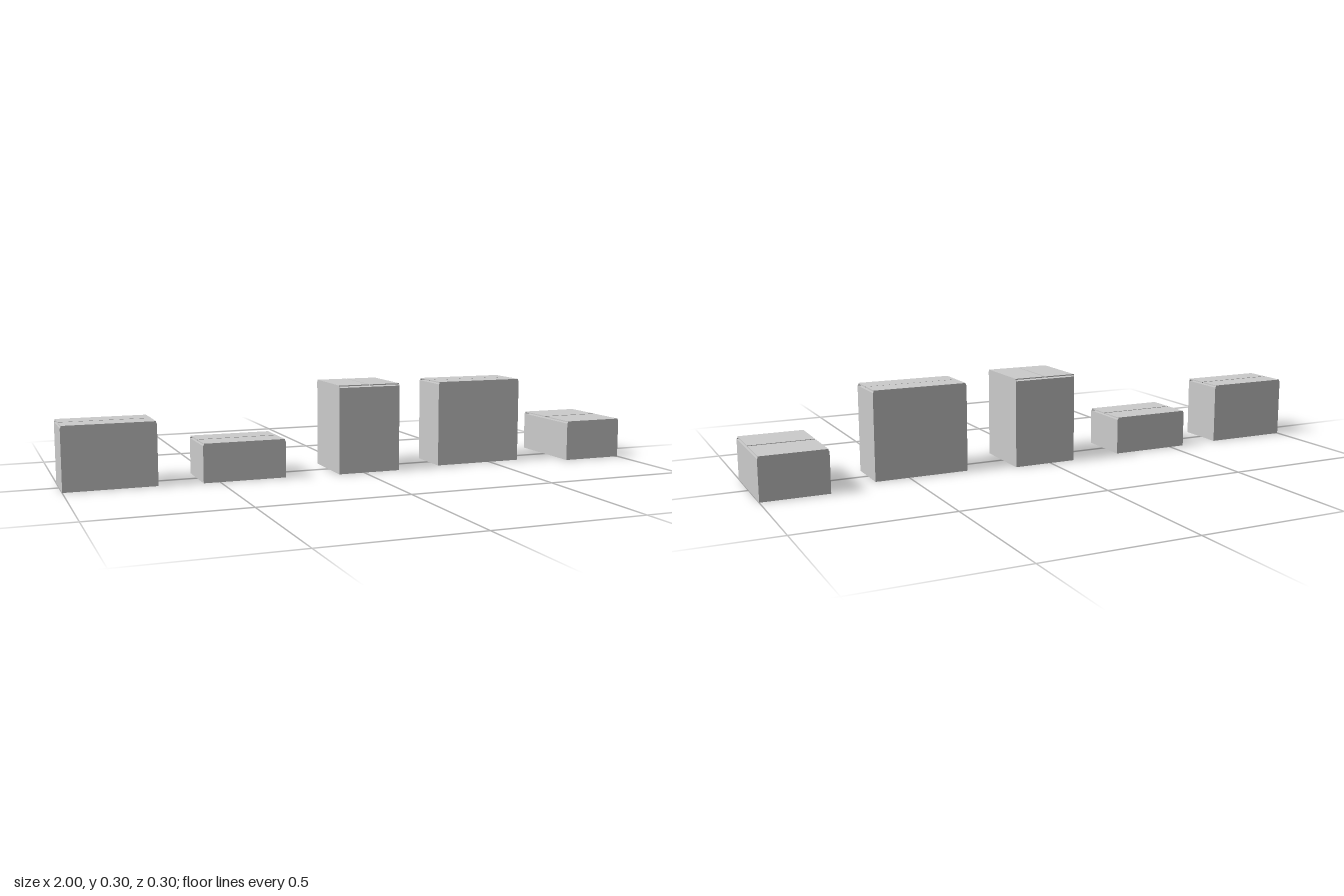
import * as THREE from 'three';

const T = 0.0035; // board thickness

export function createModel() {
  const model = new THREE.Group();
  model.name = 'cardboardBoxes';
  const material = new THREE.MeshStandardMaterial({ color: 0xcccccc, flatShading: true });

  const add = (parent, name, geometry, x, y, z) => {
    const mesh = new THREE.Mesh(geometry, material);
    mesh.name = name;
    mesh.position.set(x, y, z);
    parent.add(mesh);
    return mesh;
  };
  const slab = (parent, name, w, h, d, x, y, z) =>
    add(parent, name, new THREE.BoxGeometry(w, h, d), x, y, z);

  // One closed carton; its top seam runs along local x
  function carton(length, depth, height, gap) {
    const box = new THREE.Group();
    const endHeight = height - 0.008;
    const trim = 0.003;

    slab(box, 'bottom', length, T, depth, 0, T / 2, 0);

    // Long wall with trimmed upper corners, where the outer flap folds over
    const a = length / 2;
    const outline = new THREE.Shape([
      [-a, 0], [a, 0], [a, endHeight], [a - trim, height - T], [-a + trim, height - T], [-a, endHeight],
    ].map(([x, y]) => new THREE.Vector2(x, y)));
    const wall = new THREE.ExtrudeGeometry(outline, { depth: T, bevelEnabled: false });

    const flapDepth = (depth - gap) / 2;
    const innerFlap = Math.min(depth, length) / 2 - 0.004;
    for (const s of [-1, 1]) {
      add(box, 'longWall', wall, 0, 0, s * (depth / 2 - T / 2) - T / 2);
      slab(box, 'endWall', T, endHeight, depth - 2 * T, s * (a - T / 2), endHeight / 2, 0);
      // Inner flaps hinge on the end walls, outer flaps on the long walls
      slab(box, 'innerFlap', innerFlap, T, depth - 2 * T,
        s * (a - T - innerFlap / 2), endHeight - T / 2, 0);
      slab(box, 'outerFlap', length - 2 * trim, T, flapDepth,
        0, height - T / 2, s * (gap + flapDepth) / 2);
    }
    return box;
  }

  // name, x centre, seam length, depth, height, seam gap, quarter turn
  const boxes = [
    ['mediumBox', -0.85, 0.30, 0.17, 0.21, 0.005, false],
    ['smallBox', -0.415, 0.28, 0.19, 0.13, 0.006, false],
    ['tallBox', 0.02, 0.222, 0.22, 0.302, 0.004, true],
    ['largeBox', 0.455, 0.32, 0.16, 0.297, 0.002, false],
    ['flatBox', 0.89, 0.22, 0.302, 0.142, 0.008, false],
  ];
  for (const [name, x, length, depth, height, gap, turned] of boxes) {
    const box = carton(length, depth, height, gap);
    box.name = name;
    box.position.x = x;
    if (turned) box.rotation.y = Math.PI / 2;
    model.add(box);
  }
  return model;
}
